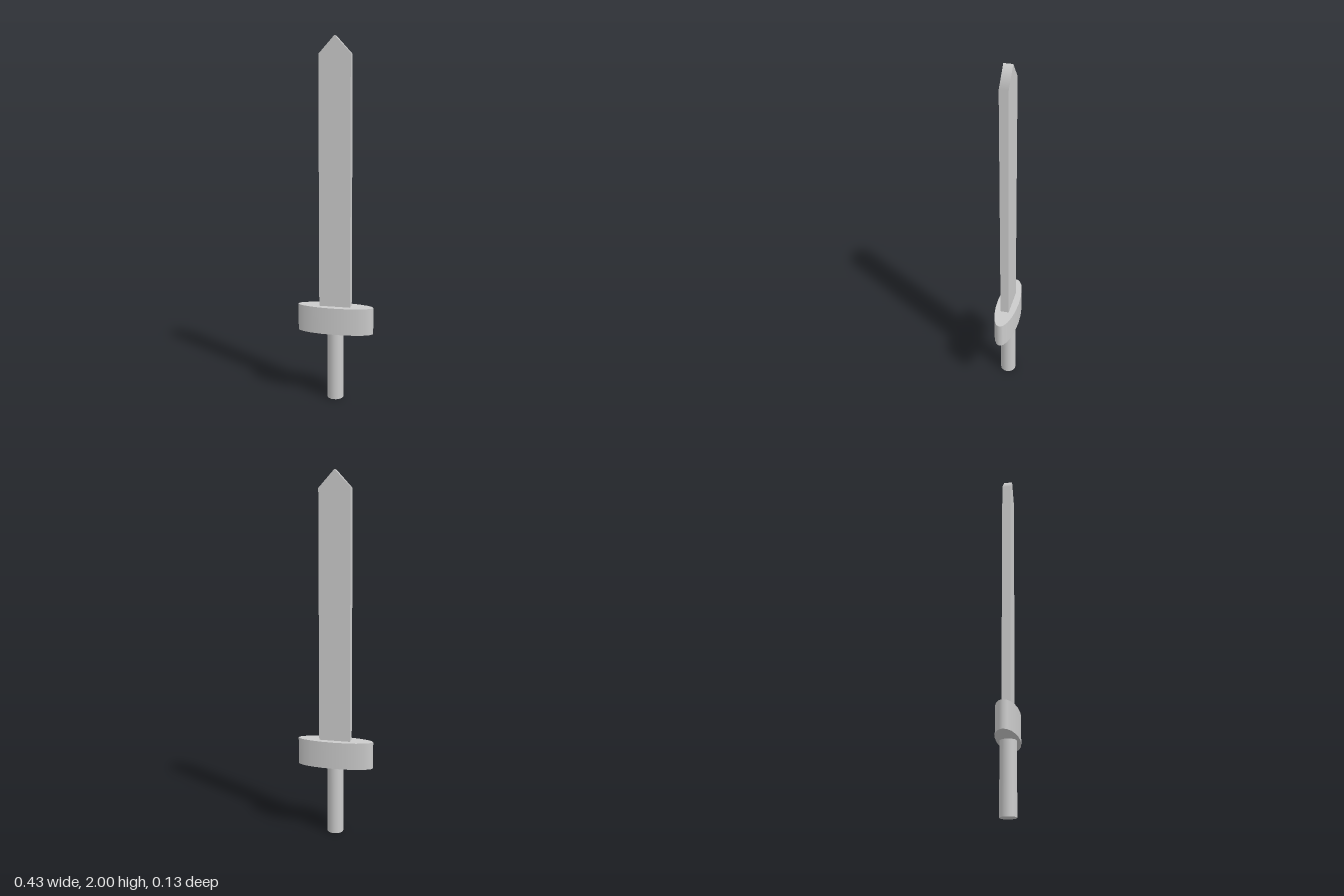
import * as THREE from 'three';

export function createModel() {
  const model = new THREE.Group();
  const material = new THREE.MeshStandardMaterial({ color: 0xcccccc });
  const add = (name, geometry, y) => {
    const mesh = new THREE.Mesh(geometry, material);
    mesh.name = name;
    mesh.position.y = y;
    model.add(mesh);
  };

  const gripTop = 0.385, guardTop = 0.535, shoulder = 1.905, tip = 2;
  const halfWidth = 0.0875, thickness = 0.048;

  // Round grip
  add('grip', new THREE.CylinderGeometry(0.045, 0.045, gripTop, 20), gripTop / 2);

  // Oval guard: a 20-sided cylinder flattened front to back
  const guard = new THREE.CylinderGeometry(1, 1, guardTop - gripTop, 20);
  guard.scale(0.215, 1, 0.063);
  add('guard', guard, (gripTop + guardTop) / 2);

  // Flat blade
  const bladeHeight = shoulder - guardTop;
  add('blade', new THREE.BoxGeometry(halfWidth * 2, bladeHeight, thickness), guardTop + bladeHeight / 2);

  // Pointed tip: upper half of a four-sided cylinder lying front to back
  const point = new THREE.CylinderGeometry(1, 1, thickness, 2, 1, false, -Math.PI / 2, Math.PI);
  point.rotateX(-Math.PI / 2);
  point.scale(halfWidth, tip - shoulder, 1);
  add('bladeTip', point, shoulder);

  return model;
}
